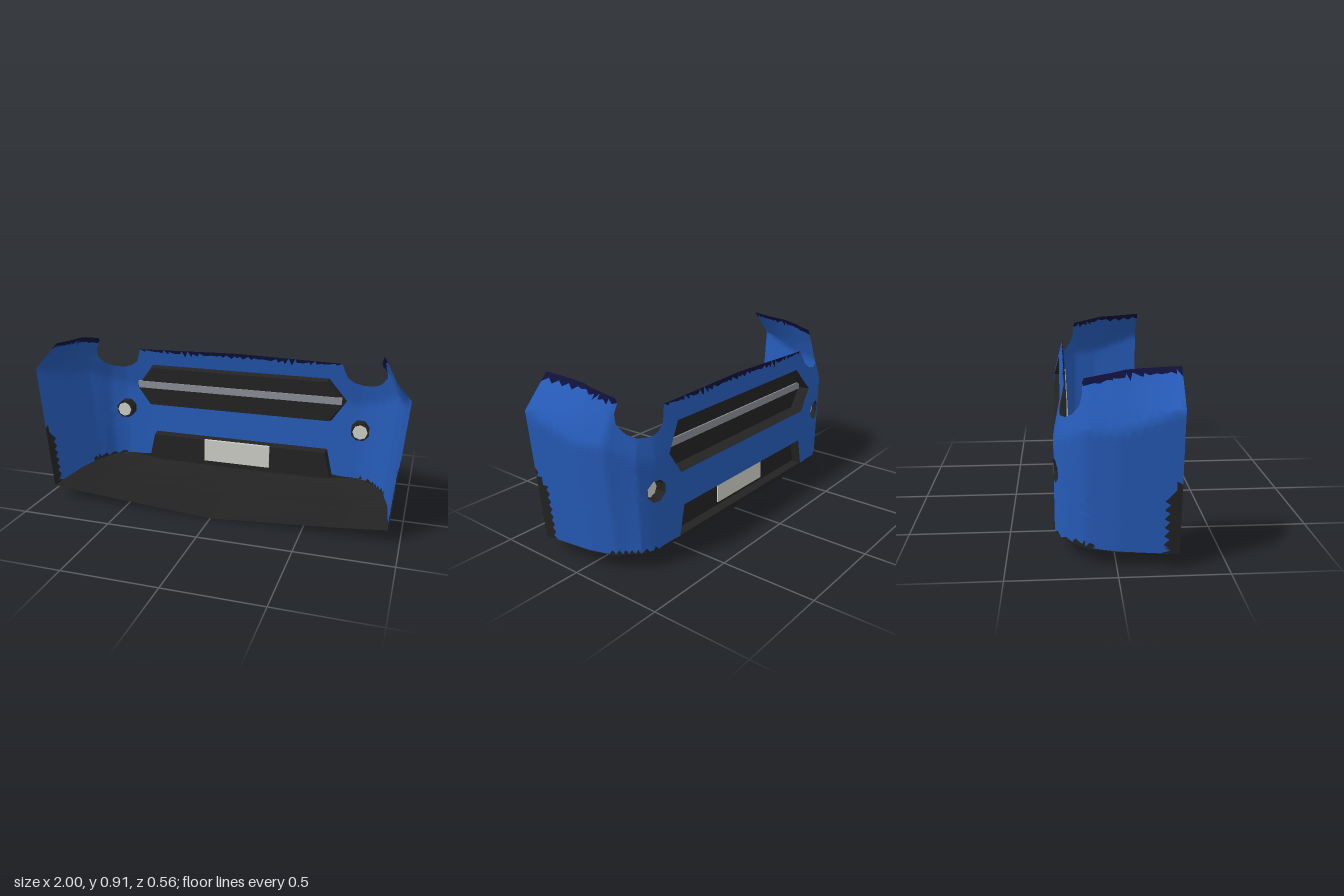
import * as THREE from 'three';
import { mergeVertices } from 'three/addons/utils/BufferGeometryUtils.js';

const mat = (name, color) => {
  const m = new THREE.MeshStandardMaterial({ color, side: THREE.DoubleSide });
  m.name = name;
  return m;
};

// Plan of the bumper skin: [x, z, height where it leans inward, lean in x, lean in z]
const PLAN = [
  [0, -0.278, 0.55, 0, 0.24], [0.6, -0.278, 0.55, 0, 0.24], [0.72, -0.275, 0.55, 0.1, 0.24],
  [0.82, -0.24, 0.58, 0.3, 0.2], [0.93, -0.14, 0.65, 0.5, 0], [0.97, 0, 0.65, 0.53, 0],
  [1, 0.277, 0.755, 0.93, 0],
];
const ARC = [0];
for (let i = 1; i < PLAN.length; i++) {
  ARC.push(ARC[i - 1] + Math.hypot(PLAN[i][0] - PLAN[i - 1][0], PLAN[i][1] - PLAN[i - 1][1]));
}
const END = ARC[ARC.length - 1];

// Wraps the flat point (distance along the plan, height) onto the skin
function wrap(s, y) {
  const a = Math.min(Math.abs(s), END);
  let i = 1;
  while (i < PLAN.length - 1 && a > ARC[i]) i++;
  const t = (a - ARC[i - 1]) / (ARC[i] - ARC[i - 1]);
  const [x, z, fold, kx, kz] = PLAN[i].map((v, j) => THREE.MathUtils.lerp(PLAN[i - 1][j], v, t));
  const over = Math.max(0, y - fold);
  const taper = 0.06 * THREE.MathUtils.smoothstep(a, 0.7, 1) * Math.max(0, 0.76 - y) / 0.685;
  return new THREE.Vector3(Math.sign(s) * (x - kx * over - taper), y, z + kz * over);
}

const points = (list) => list.map(([x, y]) => new THREE.Vector2(x, y));
const octagon = (cx, cy, r) => Array.from({ length: 8 }, (_, i) => {
  const a = (i + 0.5) * Math.PI / 4;
  return [cx + r * Math.cos(a), cy + r * Math.sin(a)];
});

const GRILLE = [[-0.63, 0.56], [-0.55, 0.44], [0.55, 0.44], [0.63, 0.56], [0.53, 0.69], [-0.53, 0.69]];
const INTAKE = [[-0.565, 0.1], [0.565, 0.1], [0.53, 0.26], [-0.53, 0.26]];
const FOG = [0.718, 0.4];

// Half outline from the bottom intake round the wheel end and lamp cutout to the top centre
const HALF = [
  [0.53, 0.26], [0.565, 0.1], [0.72, 0.1], [0.83, 0.095], [0.975, 0.085], [END, 0.073],
  [END, 0.755], [END, 0.908], [1.16, 0.893], [0.975, 0.855], [0.955, 0.835], [0.957, 0.79],
  [0.935, 0.74], [0.88, 0.695], [0.82, 0.672], [0.74, 0.664], [0.68, 0.675], [0.635, 0.705], [0.6, 0.785],
];

function skinGeometry() {
  const mirrored = HALF.map(([s, y]) => [-s, y]).reverse();
  const shape = new THREE.Shape(points([...HALF, [0, 0.8], ...mirrored]));
  shape.holes.push(new THREE.Path(points(GRILLE)));
  for (const side of [-1, 1]) {
    shape.holes.push(new THREE.Path(points(octagon(side * FOG[0], FOG[1], 0.058))));
  }
  const flat = new THREE.ShapeGeometry(shape);
  const p = flat.attributes.position, idx = flat.index.array;
  const lists = [[], [], []];

  // Paint regions: 0 body, 1 shaded top edges, 2 dark lower edges
  const region = (s, y, z) => {
    const a = Math.abs(s);
    if (a < 0.62 && y > 0.775) return 1;
    if (a > 0.95 && y > 0.83) {
      const top = a > 1.16 ? 0.893 + (a - 1.16) * 0.063 : 0.855 + (a - 0.975) * 0.205;
      if (y > top - 0.025) return 1;
    }
    if (z > 0.215 && y < 0.37 + Math.max(0, z - 0.23) * 1.6) return 2;
    return z < -0.1 && y < 0.106 ? 2 : 0;
  };
  // Halve the longest edge until the triangles are small enough to follow the curve
  const split = (a, b, c) => {
    const ab = a.distanceTo(b), bc = b.distanceTo(c), ca = c.distanceTo(a);
    const longest = Math.max(ab, bc, ca);
    if (longest > 0.045) {
      if (ab < longest) return bc === longest ? split(b, c, a) : split(c, a, b);
      const mid = a.clone().add(b).multiplyScalar(0.5);
      split(a, mid, c);
      split(mid, b, c);
      return;
    }
    const s = (a.x + b.x + c.x) / 3, y = (a.y + b.y + c.y) / 3;
    const out = lists[region(s, y, wrap(s, y).z)];
    for (const q of [a, b, c]) out.push(...wrap(q.x, q.y).toArray());
  };
  const at = (i) => new THREE.Vector2(p.getX(i), p.getY(i));
  for (let i = 0; i < idx.length; i += 3) split(at(idx[i]), at(idx[i + 1]), at(idx[i + 2]));

  const g = new THREE.BufferGeometry();
  g.setAttribute('position', new THREE.Float32BufferAttribute(lists.flat(), 3));
  let start = 0;
  lists.forEach((l, i) => {
    g.addGroup(start, l.length / 3, i);
    start += l.length / 3;
  });
  const merged = mergeVertices(g, 1e-4);
  merged.computeVertexNormals();
  return merged;
}

// Surface through equal-length rows of points
function rowsGeometry(rows) {
  const pos = [];
  for (let r = 0; r < rows.length - 1; r++) {
    for (let c = 0; c < rows[r].length - 1; c++) {
      const A = rows[r][c], B = rows[r][c + 1], C = rows[r + 1][c + 1], D = rows[r + 1][c];
      pos.push(...A, ...B, ...C, ...A, ...C, ...D);
    }
  }
  const g = new THREE.BufferGeometry();
  g.setAttribute('position', new THREE.Float32BufferAttribute(pos, 3));
  g.computeVertexNormals();
  return g;
}

// Recess: walls running inward from an opening in the skin, closed by a panel
function pocket(name, outline, inset, z, material) {
  const group = new THREE.Group();
  group.name = name;
  const box = new THREE.Box2().setFromPoints(points(outline));
  const c = box.getCenter(new THREE.Vector2()), h = box.getSize(new THREE.Vector2()).multiplyScalar(0.5);
  const inner = outline.map(([x, y]) => [
    c.x + (x - c.x) * (1 - inset / h.x), c.y + (y - c.y) * (1 - inset / h.y)]);
  const loop = (list) => [...list, list[0]];
  const walls = new THREE.Mesh(rowsGeometry([
    loop(outline).map(([s, y]) => wrap(s, y).toArray()),
    loop(inner).map(([x, y]) => [x, y, z]),
  ]), material);
  walls.name = name + 'Walls';
  const panel = new THREE.Mesh(new THREE.ShapeGeometry(new THREE.Shape(points(inner))), material);
  panel.position.z = z;
  panel.name = name + 'Panel';
  group.add(walls, panel);
  return group;
}

export function createModel() {
  const blue = mat('body blue', 0x265bb8);
  const navy = mat('edge navy', 0x10103a);
  const black = mat('trim black', 0x232323);
  const grey = mat('bar grey', 0x8a8e96);
  const pale = mat('plate pale', 0xcfcfc8);
  const model = new THREE.Group();
  const add = (name, geometry, material, x = 0, y = 0, z = 0) => {
    const m = new THREE.Mesh(geometry, material);
    m.name = name;
    m.position.set(x, y, z);
    model.add(m);
  };

  add('bumperSkin', skinGeometry(), [blue, navy, black]);

  // Undertray: half rows from centre to edge, mirrored, ending in a small lip
  const half = [
    [[0, 0, 0.277], [0.7, 0.05, 0.277], [0.94, 0.073, 0.277]],
    [[0, 0.025, 0], [0.72, 0.035, 0], [0.915, 0.08, 0]],
    [[0, 0.036, -0.14], [0.72, 0.036, -0.14], [0.878, 0.086, -0.14]],
    [[0, 0.06, -0.24], [0.6, 0.06, -0.24], [0.79, 0.095, -0.24]],
    [[0, 0.07, -0.277], [0.5, 0.073, -0.277], [0.7, 0.1, -0.277]],
    [[0, 0.104, -0.278], [0.5, 0.104, -0.278], [0.71, 0.104, -0.278]],
  ];
  add('undertray', rowsGeometry(half.map((row) => [
    ...row.slice(1).reverse().map(([x, y, z]) => [-x, y, z]), ...row])), black);

  // Grille with its cross bar
  model.add(pocket('grille', GRILLE, 0.012, -0.212, black));
  add('grilleBar', new THREE.BoxGeometry(1.22, 0.04, 0.016), grey, 0, 0.575, -0.212);

  // Lower intake with the blank plate
  model.add(pocket('lowerIntake', INTAKE, 0.006, -0.225, black));
  add('plate', new THREE.BoxGeometry(0.4, 0.132, 0.016), pale, 0, 0.191, -0.225);

  // Fog lamps
  for (const side of [-1, 1]) {
    const name = side > 0 ? 'leftFogLamp' : 'rightFogLamp';
    model.add(pocket(name, octagon(side * FOG[0], FOG[1], 0.058), 0.004, -0.225, black));
    const lens = new THREE.CylinderGeometry(0.042, 0.042, 0.014, 8).rotateX(Math.PI / 2);
    add(name + 'Lens', lens, pale, side * FOG[0], FOG[1], -0.225);
  }
  return model;
}
